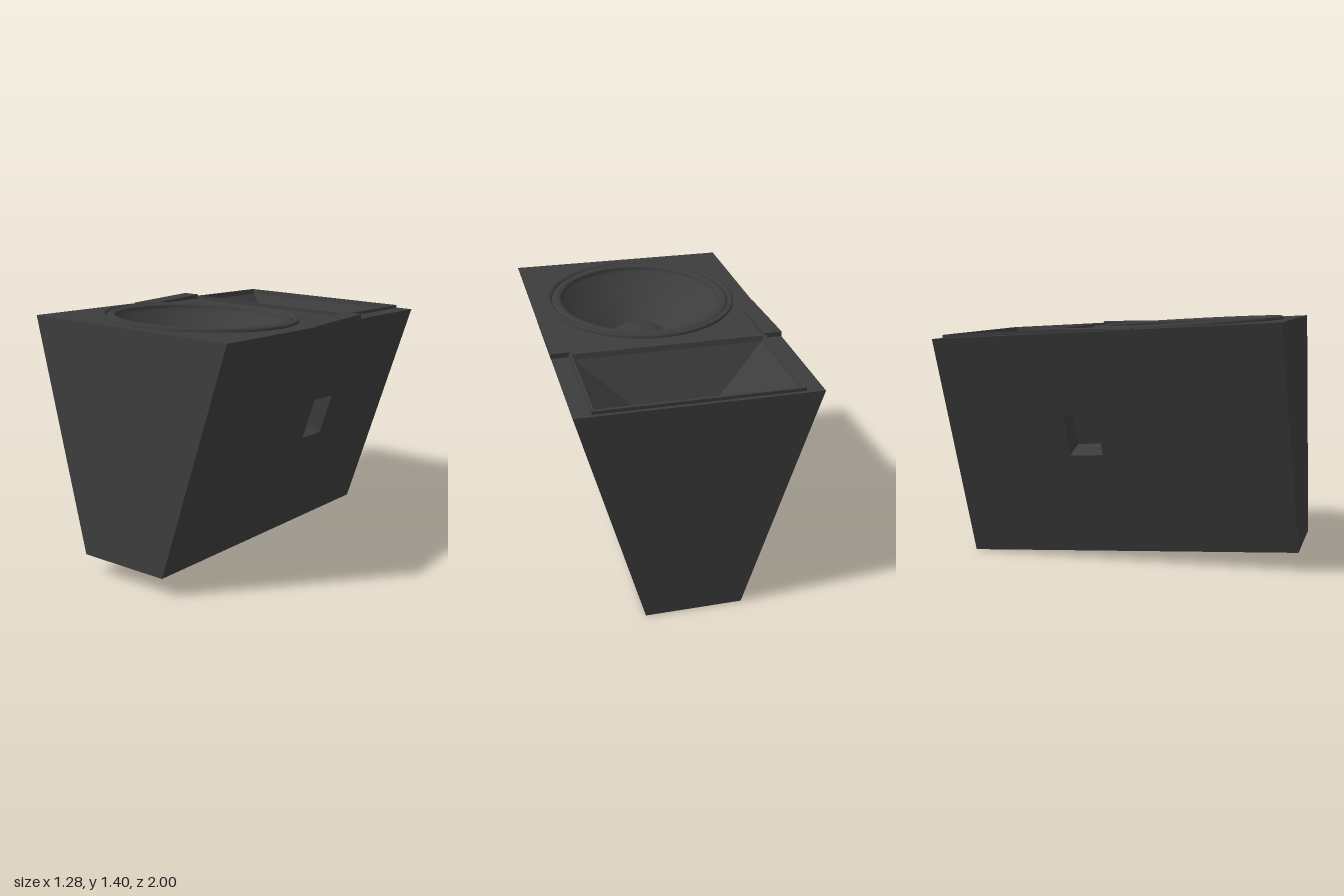
import * as THREE from 'three';

const material = new THREE.MeshStandardMaterial({ color: 0x3c3c3c, side: THREE.DoubleSide });

// Cabinet half sizes: wide at the baffle, narrow at the rear panel
const TOP = 0.64, BOTTOM = 0.27, H = 0.641, L = 0.964;

function mesh(name, geometry) {
  const m = new THREE.Mesh(geometry, material);
  m.name = name;
  return m;
}

function rectPath(cx, cy, hx, hy) {
  return new THREE.Path([[-1, -1], [-1, 1], [1, 1], [1, -1]]
    .map(([x, y]) => new THREE.Vector2(cx + x * hx, cy + y * hy)));
}

// Flat panel in XY, facing +z, with optional openings
function panel(name, points, holes = []) {
  const shape = new THREE.Shape(points.map(([x, y]) => new THREE.Vector2(x, y)));
  shape.holes.push(...holes);
  return mesh(name, new THREE.ShapeGeometry(shape, 64));
}

// Walls through a row of rectangles [halfX, halfY, z], closed at the last one
function rectLoft(name, rings) {
  const corners = rings.map(([x, y, z]) => [[-x, -y, z], [x, -y, z], [x, y, z], [-x, y, z]]);
  const pos = [];
  const quad = (a, b, c, d) => pos.push(...a, ...b, ...c, ...a, ...c, ...d);
  for (let i = 0; i < corners.length - 1; i++) {
    for (let k = 0; k < 4; k++) {
      const n = (k + 1) % 4;
      quad(corners[i][k], corners[i][n], corners[i + 1][n], corners[i + 1][k]);
    }
  }
  quad(...corners[corners.length - 1]);
  const g = new THREE.BufferGeometry();
  g.setAttribute('position', new THREE.Float32BufferAttribute(pos, 3));
  g.computeVertexNormals();
  return mesh(name, g);
}

const box = (hx, hy) => [[-hx, -hy], [hx, -hy], [hx, hy], [-hx, hy]];

// Sloping side with a recessed handle
function side(name) {
  const slope = Math.hypot(TOP - BOTTOM, 2 * H);
  const hx = 0.177, hy = 0.068;
  const inner = new THREE.Group();
  const pocket = rectLoft('handlePocket', [[0.095, 0.122, 0], [0.085, 0.11, -0.13]]);
  pocket.position.set(hx, hy, 0);
  inner.add(panel('sidePanel', box(L, slope / 2), [rectPath(hx, hy, 0.095, 0.122)]), pocket);
  const up = new THREE.Vector3(TOP - BOTTOM, 2 * H, 0).normalize();
  const along = new THREE.Vector3(0, 0, -1);
  inner.setRotationFromMatrix(new THREE.Matrix4().makeBasis(along, up, along.clone().cross(up)));
  inner.position.x = (TOP + BOTTOM) / 2;
  const group = new THREE.Group();
  group.name = name;
  group.add(inner);
  return group;
}

// Raised wedge along the baffle edge, tallest beside the horn
function edgeStrip() {
  const shape = new THREE.Shape([[-0.325, -0.003], [0.165, -0.003], [0.165, 0.004], [-0.325, 0.027]]
    .map(([x, y]) => new THREE.Vector2(x, y)));
  const g = new THREE.ExtrudeGeometry(shape, { depth: 0.1, bevelEnabled: false });
  g.rotateY(-Math.PI / 2);
  g.translate(TOP, H, 0);
  return mesh('edgeStrip', g);
}

export function createModel() {
  const model = new THREE.Group();
  model.name = 'loudspeaker';
  const cabinet = new THREE.Group();
  cabinet.name = 'cabinet';
  model.add(cabinet);

  // Baffle with horn and woofer openings
  const wooferZ = 0.345, hornZ = -0.63;
  const wooferHole = new THREE.Path().absarc(0, -wooferZ, 0.53, 0, Math.PI * 2, true);
  const baffle = panel('baffle', box(TOP, L), [wooferHole, rectPath(0, -hornZ, 0.535, 0.305)]);
  baffle.rotation.x = -Math.PI / 2;
  baffle.position.y = H;
  cabinet.add(baffle);

  // Horn: raised frame and funnel down to a small throat
  const horn = rectLoft('horn', [
    [0.545, 0.315, -0.005], [0.545, 0.315, 0.018], [0.53, 0.297, 0.018], [0.522, 0.29, -0.01],
    [0.024, 0.024, -0.42], [0.024, 0.024, -0.5],
  ]);
  horn.rotation.x = -Math.PI / 2;
  horn.position.set(0, H, hornZ);
  cabinet.add(horn);

  // Woofer: rim, rolled surround, cone and dust cap
  const surround = [], cap = [];
  for (let i = 0; i <= 8; i++) {
    const a = Math.PI * i / 8;
    surround.push([0.49 + 0.026 * Math.cos(a), 0.004 + 0.012 * Math.sin(a)]);
    cap.push([0.16 * Math.cos(a / 2), -0.25 + 0.075 * Math.sin(a / 2)]);
  }
  const profile = [[0.55, -0.005], [0.55, 0.01], [0.543, 0.018], [0.525, 0.018], [0.52, 0.004],
    ...surround, [0.46, -0.02], [0.36, -0.105], [0.26, -0.18], [0.165, -0.25], ...cap];
  const woofer = mesh('woofer', new THREE.LatheGeometry(
    profile.map(([r, y]) => new THREE.Vector2(Math.max(r, 0), y)), 72));
  woofer.position.set(0, H, wooferZ);
  cabinet.add(woofer);

  // Sides and edge strips, mirrored
  for (const s of [1, -1]) {
    const half = new THREE.Group();
    half.name = s > 0 ? 'leftSide' : 'rightSide';
    half.add(side('handleSide'), edgeStrip());
    half.scale.x = s;
    cabinet.add(half);
  }

  // Tapered end panels
  for (const s of [1, -1]) {
    const end = panel(s > 0 ? 'frontEnd' : 'backEnd', [[-BOTTOM, -H], [BOTTOM, -H], [TOP, H], [-TOP, H]]);
    end.position.z = s * L;
    end.rotation.y = s > 0 ? 0 : Math.PI;
    cabinet.add(end);
  }

  // Narrow rear panel with a connector recess
  const rear = panel('rearPanel', box(BOTTOM, L), [rectPath(0, 0.48, 0.2, 0.16)]);
  const recess = rectLoft('connectorRecess', [[0.2, 0.16, 0], [0.16, 0.12, -0.07]]);
  recess.position.y = 0.48;
  const underside = new THREE.Group();
  underside.name = 'underside';
  underside.add(rear, recess);
  underside.rotation.x = Math.PI / 2;
  underside.position.y = -H;
  cabinet.add(underside);

  // Slight tilt, front end raised
  cabinet.rotation.x = -0.057;
  cabinet.position.y = 0.697;
  return model;
}
